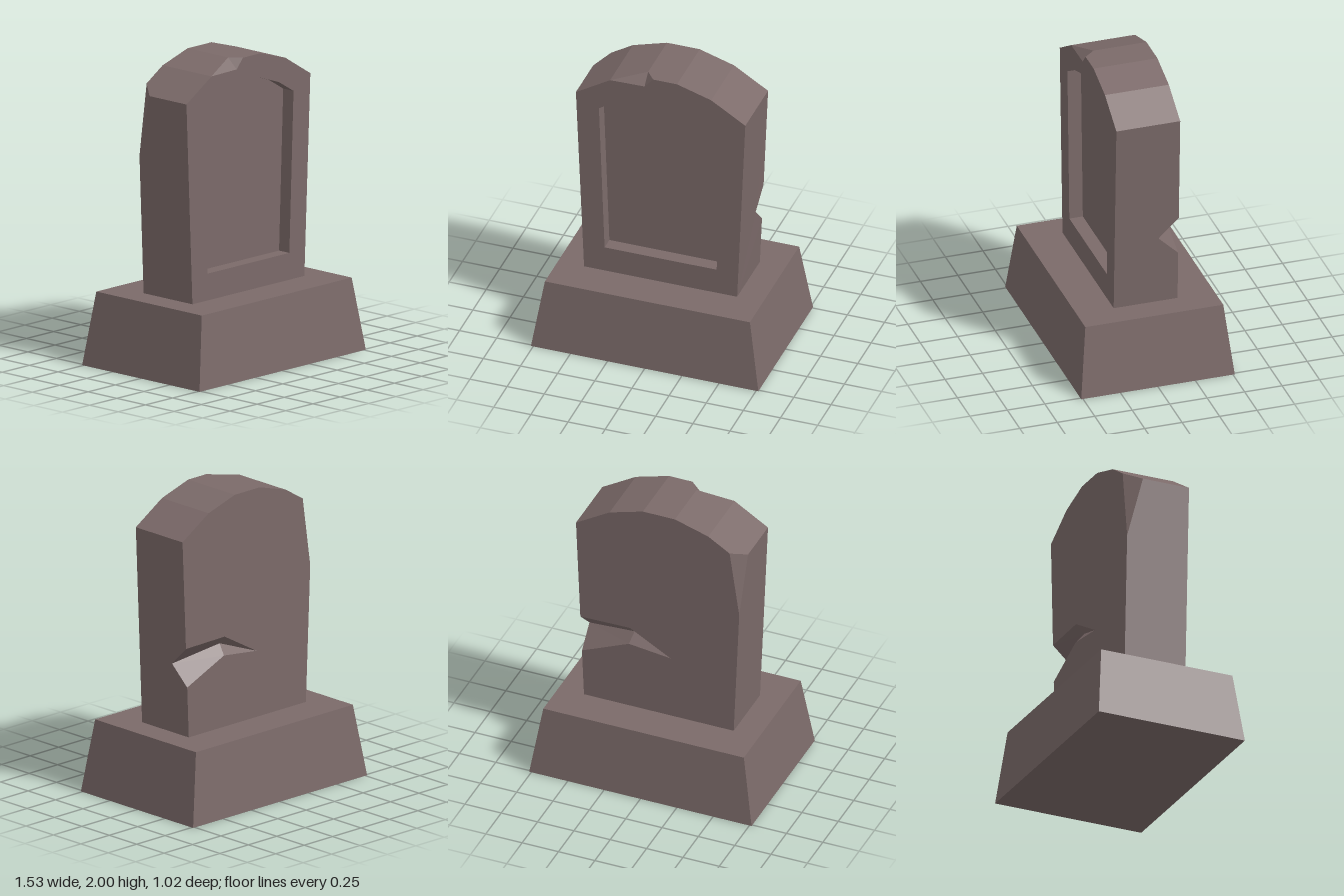
import * as THREE from 'three';

const V = (x, y, z) => new THREE.Vector3(x, y, z);

// Flat-shaded geometry from planar polygons, each listed anticlockwise from outside
function facesGeometry(faces) {
  const out = [];
  for (const { outer, holes = [] } of faces) {
    const n = V(0, 0, 0);
    outer.forEach((p, i) => n.add(p.clone().cross(outer[(i + 1) % outer.length])));
    n.normalize();
    const u = (Math.abs(n.y) > 0.9 ? V(1, 0, 0) : V(0, 1, 0)).cross(n).normalize();
    const v = n.clone().cross(u);
    const flat = (ring) => ring.map((p) => new THREE.Vector2(p.dot(u), p.dot(v)));
    const all = [outer, ...holes].flat();
    for (const t of THREE.ShapeUtils.triangulateShape(flat(outer), holes.map(flat))) {
      const [a, b, c] = t.map((i) => all[i]);
      const up = b.clone().sub(a).cross(c.clone().sub(a)).dot(n) > 0;
      for (const p of up ? [a, b, c] : [a, c, b]) out.push(p.x, p.y, p.z);
    }
  }
  const g = new THREE.BufferGeometry();
  g.setAttribute('position', new THREE.Float32BufferAttribute(out, 3));
  g.computeVertexNormals();
  return g;
}

export function createModel() {
  const group = new THREE.Group();
  const stone = new THREE.MeshStandardMaterial({ color: 0x7b6a69 });
  stone.name = 'weathered stone';
  const add = (name, geometry) => {
    const mesh = new THREE.Mesh(geometry, stone);
    mesh.name = name;
    group.add(mesh);
  };

  // Tapered plinth
  const H = 0.475;
  const base = new THREE.BoxGeometry(1.53, H, 1.024).translate(0, H / 2, 0);
  const pos = base.attributes.position;
  for (let i = 0; i < pos.count; i++) {
    if (pos.getY(i) > 0.1) pos.setXYZ(i, Math.sign(pos.getX(i)) * 0.69, H, Math.sign(pos.getZ(i)) * 0.46);
  }
  const plinth = base.toNonIndexed();
  plinth.computeVertexNormals();
  add('plinth', plinth);

  // Slab corners on the front and back planes
  const D = 0.213;
  const arch = [[-0.57, 1.788], [-0.34, 1.93], [-0.11, 2], [0.11, 2], [0.34, 1.93], [0.57, 1.788]];
  const F = arch.map(([x, y]) => V(x, y, D));
  const B = arch.map(([x, y]) => V(x, y, -D));
  const [fl, fr, bl, br] = [V(-0.515, H, D), V(0.515, H, D), V(-0.515, H, -D), V(0.515, H, -D)];

  // Chip in the front of the arch
  const k2 = V(-0.108, 1.934, D), k3 = V(-0.11, 2, 0.14), k4 = V(-0.05, 2, D);
  // Chip on the back right corner
  const c1 = V(-0.57, 1.788, -0.11), c2 = V(-0.487, 1.839, -D), c3 = V(-0.553, 1.38, -D);
  // Notch in the back left edge: three rim points on the side, then the inner ones
  const p1 = V(0.54, 1.07, -D), p2 = V(0.534, 0.94, -0.08), p3 = V(0.529, 0.81, -D);
  const p4 = V(0.19, 1.015, -0.157), p5 = V(0.206, 0.95, -D), p6 = V(-0.08, 0.916, -D), p7 = V(0.2, 1.075, -D);

  // Recessed panel outline and its floor
  const half = [[0.377, 0.65], [0.415, 1.7], [0.28, 1.782], [0.1, 1.845]];
  const outline = [...half, ...half.map(([x, y]) => [-x, y]).reverse()];
  const rim = outline.map(([x, y]) => V(x, y, D));
  const floor = outline.map(([x, y]) => V(x, y, D - 0.09));

  const poly = (...outer) => ({ outer });
  add('slab', facesGeometry([
    { outer: [fl, fr, F[5], F[4], F[3], k4, k2, F[1], F[0]], holes: [rim] },
    poly(br, bl, c3, c2, B[1], B[2], B[3], B[4], B[5], p1, p7, p6, p5, p3),
    poly(bl, fl, F[0], c1, c3),
    poly(fr, br, p3, p2, p1, B[5], F[5]),
    poly(F[0], F[1], B[1], c2, c1),
    poly(F[1], k3, B[2], B[1]),
    poly(k3, k4, F[3], B[3], B[2]),
    poly(F[3], F[4], B[4], B[3]),
    poly(F[4], F[5], B[5], B[4]),
  ]));
  add('recessedPanel', facesGeometry([
    poly(...floor),
    ...rim.map((p, i) => {
      const j = (i + 1) % rim.length;
      return poly(p, rim[j], floor[j], floor[i]);
    }),
  ]));
  add('archChip', facesGeometry([poly(F[1], k2, k3), poly(k2, k4, k3)]));
  add('cornerChip', facesGeometry([poly(c3, c1, c2)]));
  add('edgeNotch', facesGeometry([
    poly(p1, p2, p4, p7), poly(p2, p3, p5, p4), poly(p4, p5, p6), poly(p7, p4, p6),
  ]));
  return group;
}
